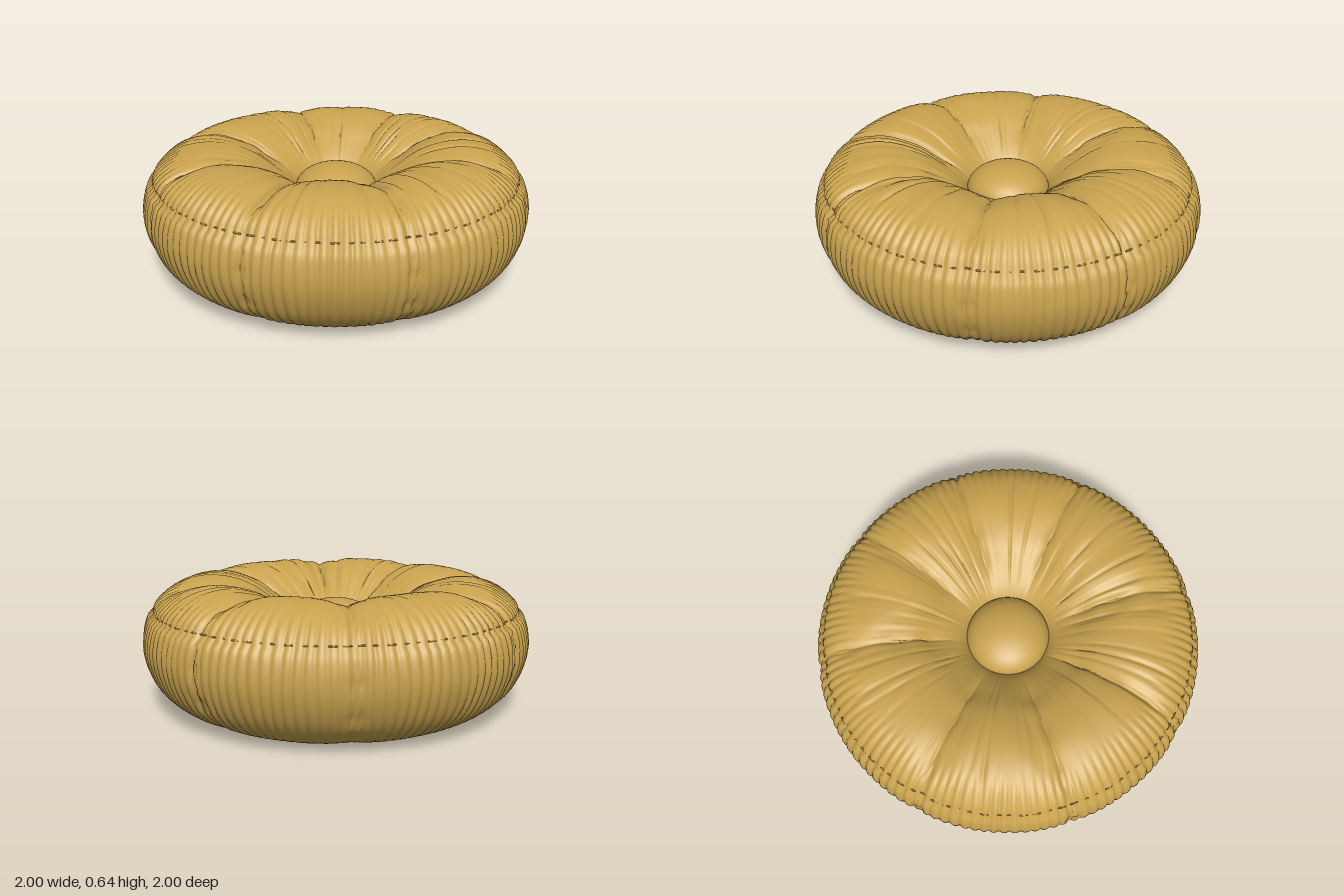
import * as THREE from 'three';
import { mergeGeometries } from 'three/addons/utils/BufferGeometryUtils.js';

const PLEATS = 124, AROUND = PLEATS * 7, RINGS = 68;
// angles of the creases between the eight padded wedges
const SEAMS = [-152, -108, -70, -27, 25, 69, 110, 155].map(THREE.MathUtils.degToRad);

// closed cross-section of the ring: (radius, height), from the inner wall under, out and over
const section = new THREE.CatmullRomCurve3([
  [0.19, 0.36], [0.2, 0.21], [0.26, 0.1], [0.4, 0.03], [0.6, 0.004], [0.78, 0.02], [0.92, 0.12],
  [0.985, 0.25], [0.997, 0.37], [0.955, 0.5], [0.85, 0.6], [0.72, 0.642], [0.58, 0.642],
  [0.44, 0.6], [0.32, 0.52], [0.225, 0.43],
].map(([r, y]) => new THREE.Vector3(r, y, 0)), true);

// repeatable value noise, periodic in n
function hash(n) {
  const s = Math.sin(n * 127.1 + 11.7) * 43758.5453;
  return s - Math.floor(s);
}
function noise(x, n) {
  const i = Math.floor(x), f = x - i, s = f * f * (3 - 2 * f);
  const k = m => hash(((m % n) + n) % n);
  return k(i) * (1 - s) + k(i + 1) * s;
}

const smooth = THREE.MathUtils.smoothstep;

// how far the cloth sinks below the smooth ring at angle a, radius r, height y
function sink(a, r, y) {
  const turn = a / (2 * Math.PI);
  const side = smooth(r, 0.74, 0.92);
  const top = smooth(y, 0.3, 0.5) * (1 - side);
  const under = 1 - smooth(y, 0.02, 0.25);
  const inner = smooth(r, 0.2, 0.42);
  // creases wander along their length, more jaggedly down the side
  const wobble = 0.012 * Math.sin(y * 34 + r * 21) + 0.01 * side * Math.sin(y * 75);
  let gap = 10;
  for (const s of SEAMS) {
    const d = Math.abs(Math.atan2(Math.sin(a - s), Math.cos(a - s)));
    gap = Math.min(gap, Math.abs(d * r - wobble * r));
  }
  const slit = (0.024 - 0.006 * side) * Math.exp(-gap / 0.018);
  const lobe = 0.022 * (1 - 0.9 * side) * Math.exp(-gap * gap / 0.009);
  const crease = (1 - 0.75 * under) * inner * (slit + lobe);
  // gathered pleats round the side
  const bend = 0.25 * Math.sin(y * 9 + turn * 40 * Math.PI);
  const fold = Math.abs(Math.sin(turn * PLEATS * Math.PI + bend));
  const pleat = 0.013 * side * (1 - fold) * (0.55 + 0.45 * noise(turn * 60, 60));
  // finer radial wrinkles on the upper face
  const wrinkle = 0.016 * top * inner * Math.pow(noise(turn * 150, 150), 3) * noise(turn * 40 + r * 9, 40);
  // stitched groove where the side panel meets the top
  const groove = 0.012 * Math.exp(-Math.pow((y - 0.505) / 0.011, 2)) * smooth(r, 0.87, 0.92);
  return crease + pleat + wrinkle + groove;
}

function cushionGeometry() {
  const pos = [], index = [];
  for (let i = 0; i < RINGS; i++) {
    const p = section.getPointAt(i / RINGS), t = section.getTangentAt(i / RINGS);
    for (let j = 0; j < AROUND; j++) {
      const a = (j / AROUND) * Math.PI * 2;
      const d = sink(a, p.x, p.y);
      const r = p.x - t.y * d, y = p.y + t.x * d;
      pos.push(r * Math.cos(a), y, r * Math.sin(a));
      const i2 = (i + 1) % RINGS, j2 = (j + 1) % AROUND;
      const A = i * AROUND + j, B = i2 * AROUND + j, C = i2 * AROUND + j2, D = i * AROUND + j2;
      index.push(A, B, D, B, C, D);
    }
  }
  const g = new THREE.BufferGeometry();
  g.setAttribute('position', new THREE.Float32BufferAttribute(pos, 3));
  g.setIndex(index);
  g.computeVertexNormals();
  return g;
}

export function createModel() {
  const model = new THREE.Group();
  model.name = 'pouf';
  const cloth = new THREE.MeshStandardMaterial({ color: 0xc8a24e });
  cloth.name = 'mustard cloth';

  const add = (name, geometry) => {
    const mesh = new THREE.Mesh(geometry, cloth);
    mesh.name = name;
    model.add(mesh);
    return mesh;
  };

  // padded ring
  add('cushion', cushionGeometry());

  // domed button filling the middle
  const button = add('centreButton', new THREE.SphereGeometry(0.215, 48, 24));
  button.scale.y = 0.6;
  button.position.y = 0.4;

  // row of stitches along the upper edge
  const stitches = [];
  for (let k = 0; k < 96; k++) {
    const a = (k / 96) * Math.PI * 2;
    const r = 0.948 - sink(a, 0.95, 0.505) * 0.8;
    const g = new THREE.CapsuleGeometry(0.004, 0.032, 2, 6);
    g.rotateX(Math.PI / 2);
    g.translate(r, 0.507, 0);
    g.rotateY(-a);
    stitches.push(g);
  }
  add('stitching', mergeGeometries(stitches));

  return model;
}
